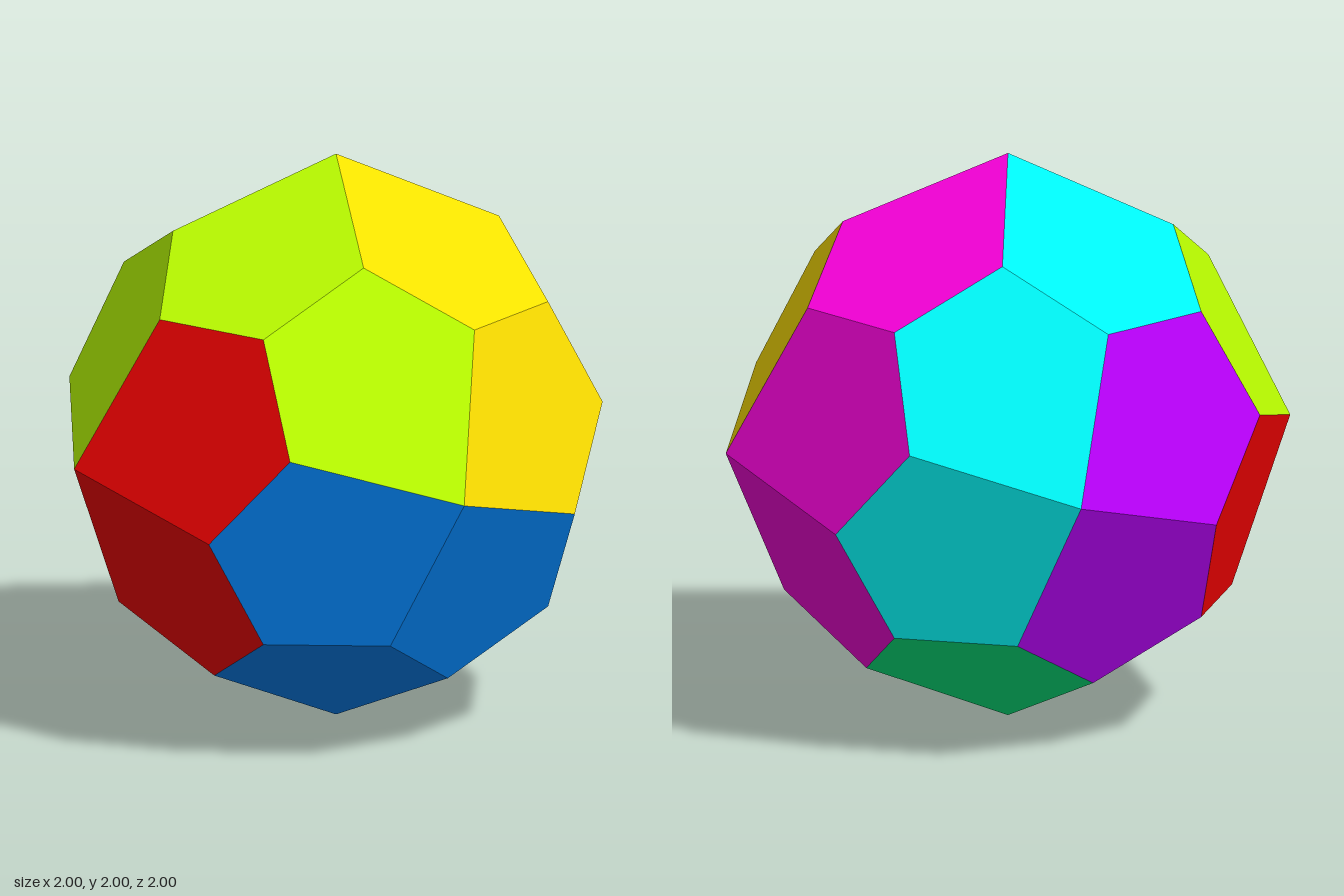
import * as THREE from 'three';

// Pentagonal icositetrahedron: proportions follow from the tribonacci constant
const T = 1.839287;
const P = 1 / T ** 3;
const Q = 1 / T;
const R = (2 * T + 1) / T ** 3;

// One pentagon next to the +z tip, counter-clockwise from outside
const PENTAGON = [[0, 0, 1], [Q, -P, R], [R, P, Q], [Q, Q, Q], [P, Q, R]];

// Each coloured piece joins three pentagons, written as "tip axis : octant signs"
const PIECES = {
  yellowPiece: [0xffe100, '+z:+++', '+y:+++', '+x:+++'],
  limePiece: [0xbcff00, '+z:-++', '+y:-++', '-x:-+-'],
  bluePiece: [0x0089ff, '+z:--+', '+z:+-+', '-y:--+'],
  greenPiece: [0x00ff89, '+x:+-+', '-y:+-+', '-y:+--'],
  magentaPiece: [0xff00e1, '+x:++-', '+x:+--', '+y:++-'],
  cyanPiece: [0x00ffff, '+y:-+-', '-z:++-', '-z:+--'],
  purplePiece: [0xbc00ff, '-z:-+-', '-z:---', '-y:---'],
  redPiece: [0xff0000, '-x:-++', '-x:--+', '-x:---'],
};

const sign = (c) => (c === '+' ? 1 : -1);

// Corners of the pentagon turned to the given tip axis and octant
function pentagonCorners(code) {
  const [axis, octant] = code.split(':');
  const n = new THREE.Vector3();
  n[axis[1]] = sign(axis[0]);
  const diagonal = new THREE.Vector3(...[...octant].map(sign)).sub(n);
  const u = diagonal.clone().sub(n.clone().cross(diagonal)).multiplyScalar(0.5);
  const turn = new THREE.Matrix4().makeBasis(u, n.clone().cross(u), n);
  return PENTAGON.map((p) => new THREE.Vector3(...p).applyMatrix4(turn));
}

// Shell of three flat pentagons, each cut into a fan of triangles
function pieceGeometry(codes) {
  const points = [];
  for (const code of codes) {
    const c = pentagonCorners(code);
    for (let i = 1; i < 4; i++) points.push(c[0], c[i], c[i + 1]);
  }
  const geometry = new THREE.BufferGeometry().setFromPoints(points);
  geometry.computeVertexNormals();
  return geometry;
}

export function createModel() {
  const model = new THREE.Group();
  model.name = 'pentagonBall';
  for (const [name, [color, ...codes]] of Object.entries(PIECES)) {
    const material = new THREE.MeshStandardMaterial({ color, flatShading: true });
    const piece = new THREE.Mesh(pieceGeometry(codes), material);
    piece.name = name;
    piece.position.y = 1;
    model.add(piece);
  }
  return model;
}
